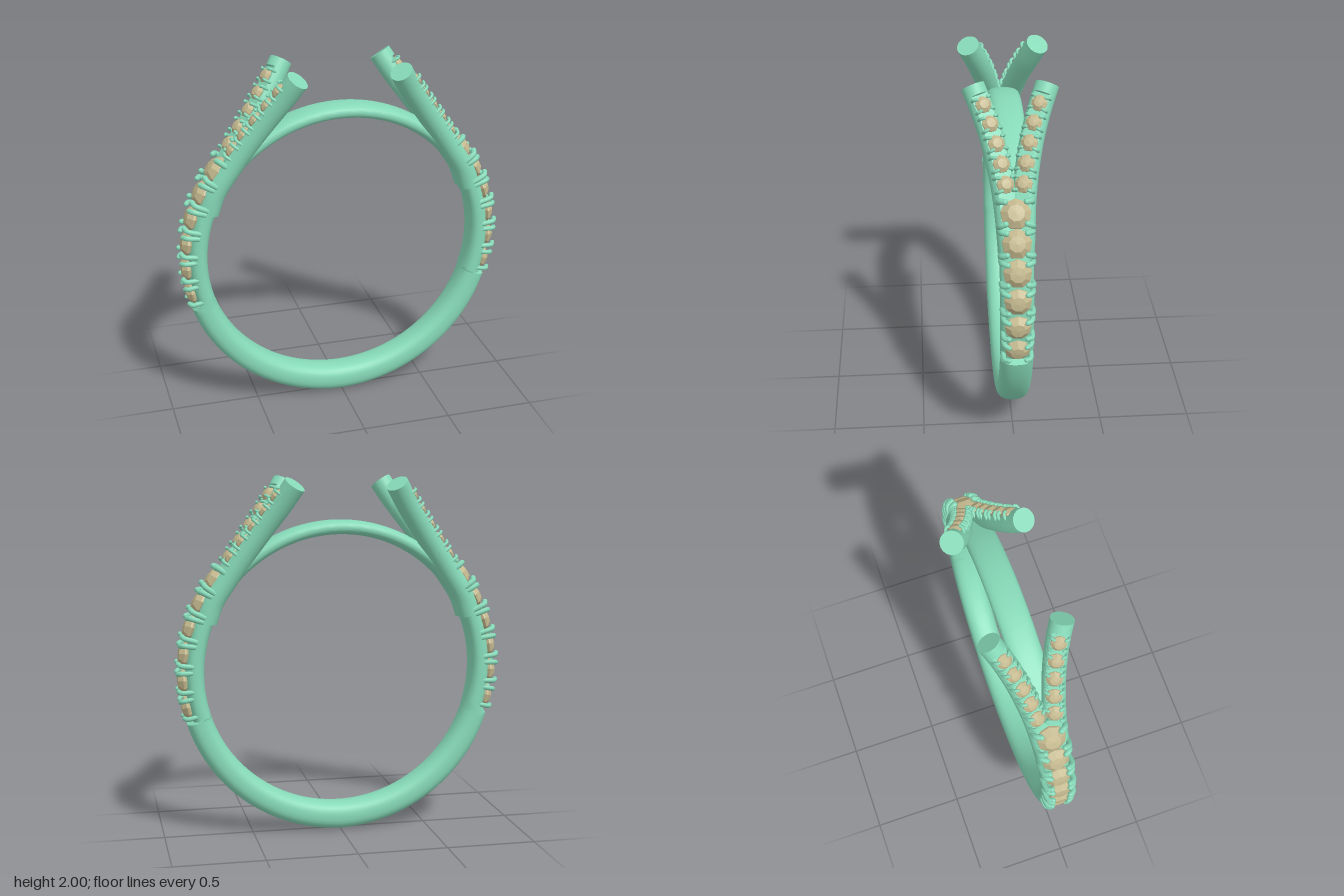
import * as THREE from 'three';
import { mergeGeometries, mergeVertices, toCreasedNormals } from 'three/addons/utils/BufferGeometryUtils.js';

const V = (x, y, z) => new THREE.Vector3(x, y, z);
const metal = new THREE.MeshStandardMaterial({ color: 0x86d9b8 });
const gem = new THREE.MeshStandardMaterial({ color: 0xc4b98f, flatShading: true });
const CENTRE_Y = 0.92, INNER = 0.763, SIDES = 32;
const rad = THREE.MathUtils.degToRad;

// Skin a list of equal-sized rings of points
function loft(rings, closed) {
  const n = rings[0].length, index = [];
  const last = closed ? rings.length : rings.length - 1;
  for (let i = 0; i < last; i++) {
    const p = i * n, q = ((i + 1) % rings.length) * n;
    for (let j = 0; j < n; j++) {
      const k = (j + 1) % n;
      index.push(p + j, q + j, p + k, q + j, q + k, p + k);
    }
  }
  const g = new THREE.BufferGeometry().setFromPoints(rings.flat());
  g.setIndex(index);
  return toCreasedNormals(g, rad(38));
}

function mesh(name, geometry, material) {
  const m = new THREE.Mesh(geometry, material);
  m.name = name;
  return m;
}

// Band thickness at an elevation in degrees: thick below, stepped down under the stones, thin on top
function thickness(deg) {
  if (deg < -17.4) return THREE.MathUtils.mapLinear(deg, -90, -17.4, 0.157, 0.142);
  return THREE.MathUtils.lerp(0.105, 0.08, THREE.MathUtils.smoothstep(deg, 36, 58));
}

function bandGeometry() {
  const half = [];
  for (let d = -90; d < 90; d += 2) half.push(d);
  half.push(-17.6, -17.3);
  half.sort((a, b) => a - b);
  const angles = [...half.map(d => [d, d]), ...half.map(d => [180 + d, -d])];
  const power = v => Math.sign(v) * Math.abs(v) ** 0.8;
  return loft(angles.map(([a, elevation]) => {
    const t = thickness(elevation), ring = [];
    for (let j = 0; j < SIDES; j++) {
      const s = j / SIDES * Math.PI * 2;
      const r = INNER + t / 2 + t / 2 * power(Math.cos(s));
      ring.push(V(r * Math.cos(rad(a)), CENTRE_Y + r * Math.sin(rad(a)), 0.087 * power(Math.sin(s))));
    }
    return ring;
  }), true);
}

// Faceted stone of unit radius, table facing +y
const stoneGeometry = new THREE.LatheGeometry(
  [[0, -0.7], [0.6, -0.45], [1, -0.05], [0.98, 0.08], [0.55, 0.46], [0, 0.52]].map(p => new THREE.Vector2(...p)), 9);

// Four claws hooking over a unit stone
const clawGeometry = mergeGeometries([[1, 1], [1, -1], [-1, 1], [-1, -1]].flatMap(([x, z]) => {
  const path = [[1.06, -0.7, 0.76], [1.07, -0.05, 0.77], [0.98, 0.3, 0.77], [0.68, 0.47, 0.7]]
    .map(p => V(p[0] * x, p[1], p[2] * z));
  const tip = new THREE.SphereGeometry(0.2, 8, 6).translate(path[3].x, path[3].y, path[3].z);
  return [new THREE.TubeGeometry(new THREE.CatmullRomCurve3(path), 8, 0.2, 8), tip];
}));

// A stone with claws: normal is its up axis, tangent runs along the row
function setting(position, normal, tangent, size) {
  const g = new THREE.Group();
  g.name = 'stoneSetting';
  const side = normal.clone().cross(tangent);
  g.setRotationFromMatrix(new THREE.Matrix4().makeBasis(side, normal, tangent));
  g.position.copy(position);
  g.scale.setScalar(size);
  g.add(mesh('stone', stoneGeometry, gem), mesh('claws', clawGeometry, metal));
  return g;
}

// One of the four arms that split away from the band
function splitArm(sx, sz) {
  const arm = new THREE.Group();
  arm.name = 'splitArm';
  const R = 0.062;
  const curve = new THREE.CatmullRomCurve3([
    [0.75, 1.22, 0.03], [0.71, 1.33, 0.036], [0.62, 1.47, 0.047], [0.53, 1.6, 0.068],
    [0.43, 1.74, 0.103], [0.345, 1.86, 0.146], [0.28, 1.965, 0.19],
  ].map(p => V(p[0] * sx, p[1], p[2] * sz)));

  const frame = u => {
    const p = curve.getPointAt(u), t = curve.getTangentAt(u);
    const n = V(t.y * sx, -t.x * sx, 0).normalize();
    n.z -= 0.25 * sz;
    n.addScaledVector(t, -n.dot(t)).normalize();
    return { p, t, n, b: n.clone().cross(t) };
  };

  // Round rod, flattened on the outside where the stones sit
  const stops = [];
  for (let i = 0; i <= 40; i++) stops.push(i / 40 * 0.935);
  stops.push(0.94, 0.97, 1);
  const rings = stops.map(u => {
    const { p, n, b } = frame(u), ring = [];
    const cut = u > 0.936 ? R : 0.045;
    for (let j = 0; j < SIDES; j++) {
      const s = j / SIDES * Math.PI * 2;
      ring.push(p.clone().addScaledVector(n, Math.min(R * Math.cos(s), cut)).addScaledVector(b, R * Math.sin(s)));
    }
    return ring;
  });
  rings.push(rings[0].map(() => curve.getPointAt(1)));
  arm.add(mesh('armRod', loft(rings, false), metal));

  for (let i = 0; i < 5; i++) {
    const { p, t, n } = frame(0.41 + 0.116 * i);
    arm.add(setting(p.addScaledVector(n, 0.05), n, t, 0.047 - 0.001 * i));
  }
  return arm;
}

export function createModel() {
  const ring = new THREE.Group();
  ring.name = 'splitShankRing';
  ring.add(mesh('band', bandGeometry(), metal));

  for (const sx of [1, -1]) {
    // Row of larger stones on each shoulder, growing upwards
    for (let i = 0; i < 6; i++) {
      const a = rad(-11.9 + 9.8 * i);
      const n = V(sx * Math.cos(a), Math.sin(a), 0);
      const t = V(-sx * Math.sin(a), Math.cos(a), 0);
      const p = n.clone().multiplyScalar(0.876).add(V(0, CENTRE_Y, 0));
      ring.add(setting(p, n, t, 0.067 + 0.0025 * i));
    }
    for (const sz of [1, -1]) ring.add(splitArm(sx, sz));
  }
  return ring;
}
